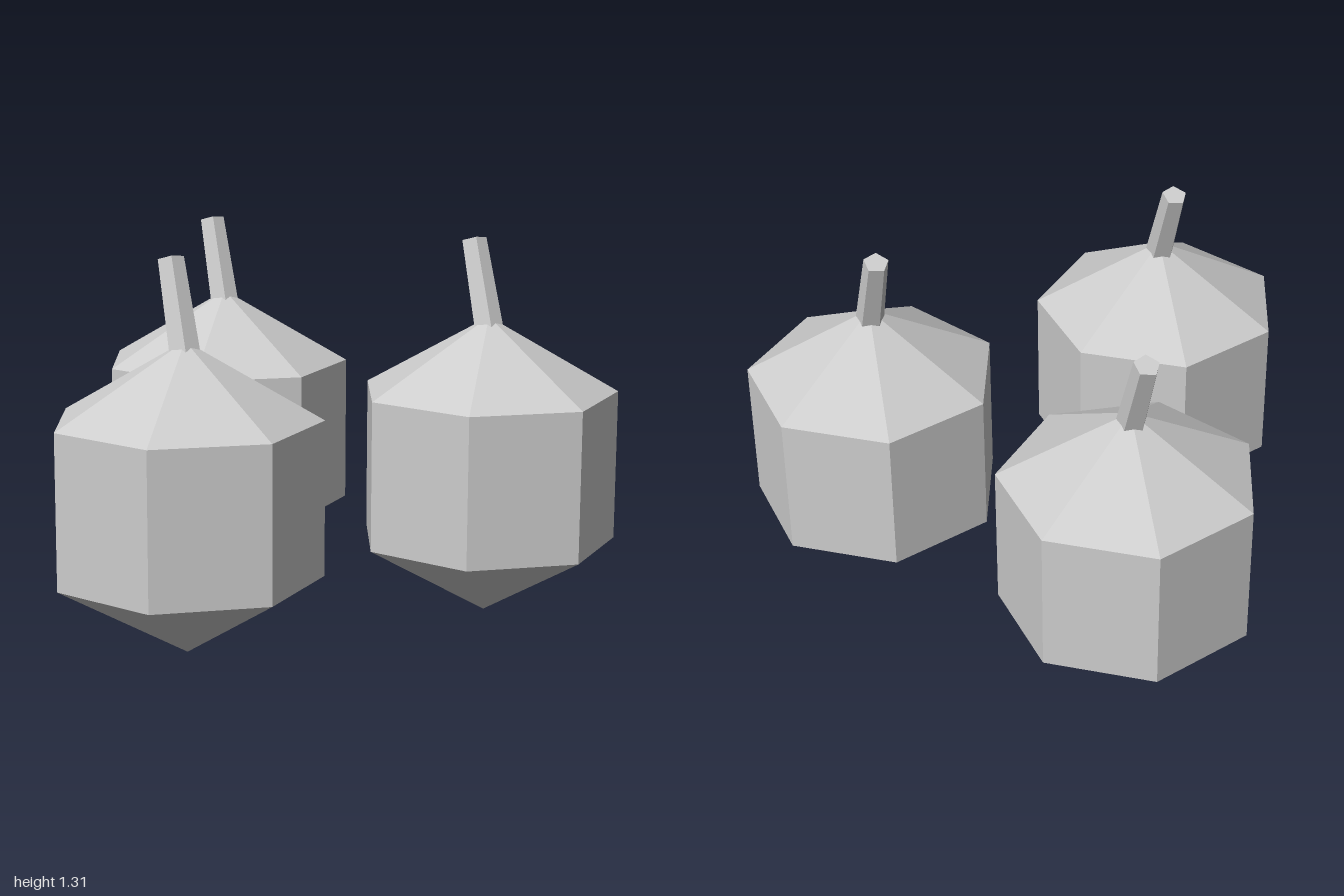
import * as THREE from 'three';

const grey = new THREE.MeshStandardMaterial({ color: 0xcccccc });
grey.name = 'plain grey';
grey.flatShading = true;

const R = 0.523; // body radius
const TILT = THREE.MathUtils.degToRad(-20);
const STEM = 0.33;

// One fruit: a coarse seven-sided ball with a five-sided stem leaning backwards
function makeFruit(name, x, z) {
  const fruit = new THREE.Group();
  fruit.name = name;

  const body = new THREE.Mesh(new THREE.SphereGeometry(R, 7, 3), grey);
  body.name = 'body';
  body.position.y = R;

  // Turn one stem edge to -x, then lean the stem about its base
  const stemShape = new THREE.CylinderGeometry(0.045, 0.053, STEM, 5)
    .rotateY(-Math.PI / 2)
    .translate(0, STEM / 2, 0);
  const stem = new THREE.Mesh(stemShape, grey);
  stem.name = 'stem';
  stem.position.y = 0.99;
  stem.rotation.x = TILT;

  fruit.add(body, stem);
  fruit.position.set(x, 0, z);
  return fruit;
}

export function createModel() {
  const model = new THREE.Group();
  model.name = 'three fruits';
  model.add(
    makeFruit('frontRightFruit', -0.547, 0.474),
    makeFruit('frontLeftFruit', 0.591, 0.474),
    makeFruit('backFruit', 0.022, -0.476),
  );
  return model;
}
